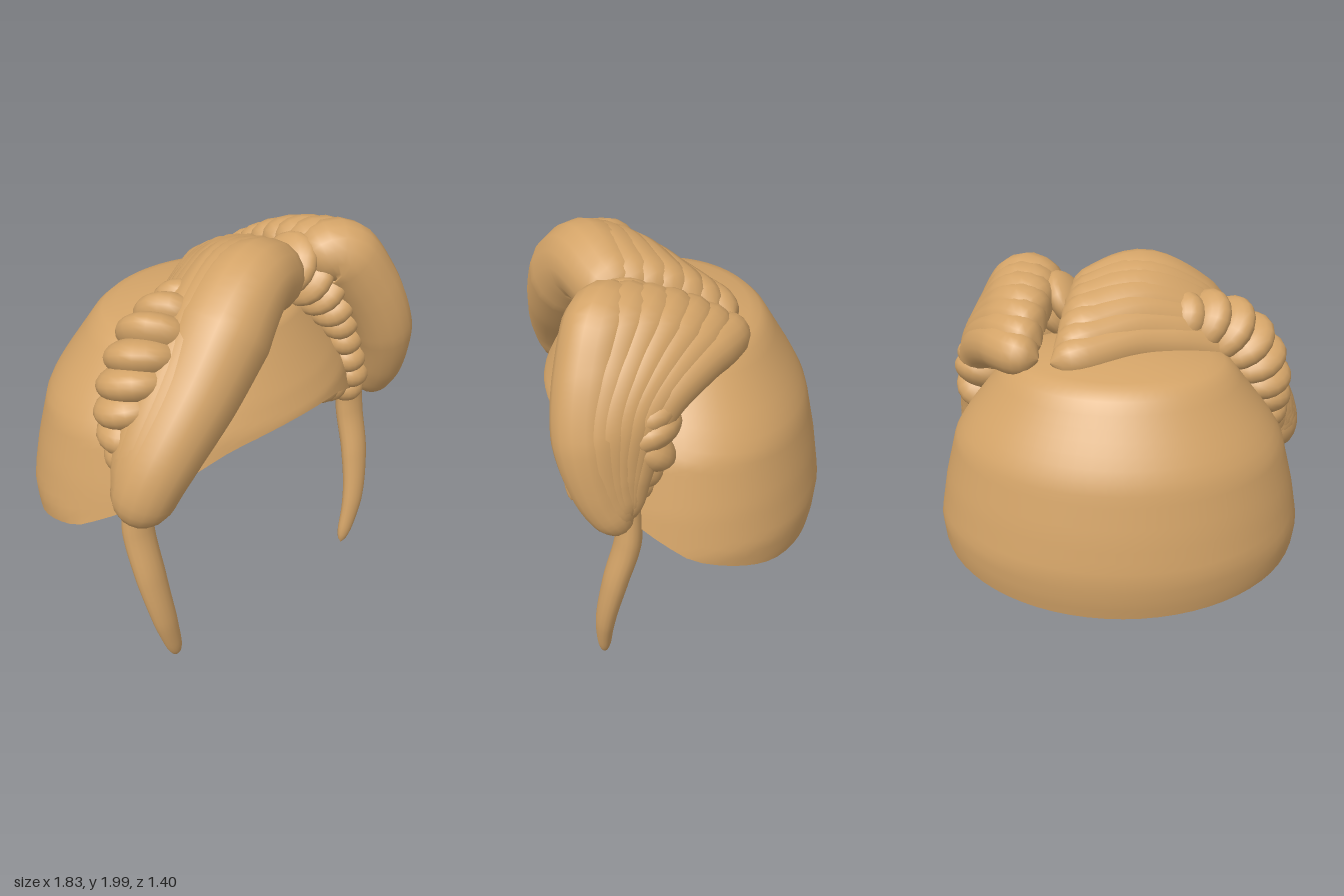
import * as THREE from 'three';
import { mergeVertices } from 'three/addons/utils/BufferGeometryUtils.js';

const hair = new THREE.MeshStandardMaterial({ color: 0xd4a468 });
hair.name = 'hair tan';
const shell = new THREE.MeshStandardMaterial({ color: 0xd4a468, side: THREE.DoubleSide });
shell.name = 'hair tan open shell';

const curveOf = (pts) => new THREE.CatmullRomCurve3(pts.map((p) => new THREE.Vector3(...p)));

// Linear lookup in an evenly spaced list
function sample(list, u) {
  const f = Math.min(Math.max(u, 0), 1) * (list.length - 1);
  const i = Math.min(Math.floor(f), list.length - 2);
  return list[i] + (list[i + 1] - list[i]) * (f - i);
}

// Lookup in a table of [key, value] with rising keys
function lookup(table, k) {
  let i = 0;
  while (i < table.length - 2 && k > table[i + 1][0]) i++;
  const [a, b] = [table[i], table[i + 1]];
  return a[1] + (b[1] - a[1]) * Math.min(Math.max((k - a[0]) / (b[0] - a[0]), 0), 1);
}

function smooth(geo) {
  geo.deleteAttribute('uv');
  geo.deleteAttribute('normal');
  const g = mergeVertices(geo, 1e-4);
  g.computeVertexNormals();
  return g;
}

// Tapered tube with rounded ends
function lock(name, pts, radii, flatZ = 1) {
  const n = 40, m = 16, curve = curveOf(pts);
  const geo = new THREE.TubeGeometry(curve, n, 1, m);
  const pos = geo.attributes.position, v = new THREE.Vector3();
  for (let i = 0; i <= n; i++) {
    const u = i / n, c = curve.getPointAt(u);
    const e = Math.min(1, Math.min(u, 1 - u) / 0.1);
    const r = sample(radii, u) * Math.sqrt(Math.max(0.002, 1 - (1 - e) ** 2));
    for (let j = 0; j <= m; j++) {
      const k = i * (m + 1) + j;
      v.fromBufferAttribute(pos, k).sub(c).multiplyScalar(r);
      pos.setXYZ(k, c.x + v.x, c.y + v.y, c.z + v.z * flatZ);
    }
  }
  const mesh = new THREE.Mesh(smooth(geo), hair);
  mesh.name = name;
  return mesh;
}

// Overlapping layers blended from a front lock to a back lock
function layeredSweep(name, front, frontR, back, backR, layers) {
  const g = new THREE.Group();
  g.name = name;
  for (let i = 0; i < layers; i++) {
    const t = i / (layers - 1);
    const lift = 0.04 * Math.sin(Math.PI * t);
    const pts = front.map((p, k) => p.map((a, d) => a + (back[k][d] - a) * t + (d === 1 ? lift : 0)));
    const radii = frontR.map((r, k) => r + (backR[k] - r) * t);
    g.add(lock(name + 'Layer', pts, radii));
  }
  return g;
}

// Row of squashed, tilted beads along a path
function braid(name, pts, count, widths, thick, tilt) {
  const g = new THREE.Group();
  g.name = name;
  const curve = curveOf(pts), up = new THREE.Vector3(0, 1, 0);
  const lean = new THREE.Quaternion().setFromEuler(new THREE.Euler(tilt, 0, tilt * 0.5));
  for (let i = 0; i < count; i++) {
    const u = i / (count - 1), w = sample(widths, u);
    const bead = new THREE.Mesh(new THREE.SphereGeometry(1, 18, 12), hair);
    bead.name = name + 'Strand';
    bead.position.copy(curve.getPointAt(u));
    bead.quaternion.setFromUnitVectors(up, curve.getTangentAt(u)).multiply(lean);
    bead.scale.set(w, thick, w);
    g.add(bead);
  }
  return g;
}

// Open dome with a rim that is high at the front and low at the back
function cap() {
  const rim = [[-1, 0.52], [-0.44, 0.595], [0.15, 0.735], [0.48, 0.88], [0.72, 1.02], [0.9, 1.14], [1, 1.18]];
  const profile = [[0.52, 0.955], [0.62, 0.985], [0.75, 1], [0.95, 0.96], [1.2, 0.89], [1.3, 0.82], [1.57, 0.59]];
  const n = 64, m = 28, verts = [], idx = [];
  for (let j = 0; j <= m; j++) {
    for (let i = 0; i < n; i++) {
      const a = (i / n) * Math.PI * 2, s = Math.cos(a);
      const low = lookup(rim, s), v = j / m;
      // Lower rings climb the wall, upper rings close the crown
      const y = v < 0.7 ? low + (1.57 - low) * (v / 0.7) : 1.57 + 0.07 * (1 - ((1 - v) / 0.3) ** 2);
      const k = v < 0.7 ? lookup(profile, y) : 0.59 * ((1 - v) / 0.3);
      verts.push(Math.sin(a) * 0.91 * k, y, s * (s > 0 ? 0.72 : 0.71) * k + 0.01);
      if (j < m) {
        const p = j * n + i, q = j * n + ((i + 1) % n);
        idx.push(p, q, q + n, p, q + n, p + n);
      }
    }
  }
  let geo = new THREE.BufferGeometry();
  geo.setAttribute('position', new THREE.Float32BufferAttribute(verts, 3));
  geo.setIndex(idx);
  geo = mergeVertices(geo, 1e-4);
  geo.computeVertexNormals();
  const mesh = new THREE.Mesh(geo, shell);
  mesh.name = 'hairCap';
  return mesh;
}

export function createModel() {
  const model = new THREE.Group();
  model.name = 'braidedHair';
  model.add(cap());

  // Wide fringe sweep on the right
  model.add(layeredSweep('rightFringe',
    [[0.26, 1.71, 0.27], [0.12, 1.75, 0.33], [-0.1, 1.785, 0.4], [-0.48, 1.44, 0.475], [-0.74, 1.13, 0.48], [-0.81, 0.89, 0.44]],
    [0.16, 0.19, 0.225, 0.2, 0.17, 0.13],
    [[0.3, 1.62, -0.2], [0.14, 1.63, -0.12], [-0.1, 1.64, 0.04], [-0.5, 1.52, 0.24], [-0.74, 1.2, 0.36], [-0.8, 0.97, 0.42]],
    [0.1, 0.11, 0.12, 0.12, 0.1, 0.08], 7));

  // Narrower fringe sweep on the left
  model.add(layeredSweep('leftFringe',
    [[0.35, 1.72, 0.33], [0.49, 1.79, 0.42], [0.62, 1.62, 0.5], [0.73, 1.36, 0.55], [0.79, 1.1, 0.51], [0.83, 0.9, 0.41]],
    [0.13, 0.165, 0.16, 0.15, 0.12, 0.08],
    [[0.36, 1.62, -0.16], [0.47, 1.63, -0.12], [0.6, 1.61, 0.03], [0.73, 1.48, 0.24], [0.78, 1.2, 0.36], [0.82, 0.96, 0.4]],
    [0.1, 0.115, 0.11, 0.1, 0.09, 0.06], 7));

  // Braids wrapping the back edges and curling under the temples
  model.add(braid('rightBraid',
    [[-0.2, 1.72, 0.17], [-0.4, 1.69, 0.24], [-0.55, 1.61, 0.27], [-0.65, 1.49, 0.29], [-0.71, 1.34, 0.3],
      [-0.73, 1.18, 0.34], [-0.67, 1.06, 0.37], [-0.57, 1.04, 0.38], [-0.48, 1.05, 0.4]],
    12, [0.09, 0.15, 0.18, 0.18, 0.17, 0.14, 0.12, 0.12, 0.09], 0.095, 0.35));
  model.add(braid('leftBraid',
    [[0.67, 1.53, 0.28], [0.71, 1.43, 0.28], [0.73, 1.3, 0.29], [0.72, 1.17, 0.33], [0.66, 1.05, 0.37],
      [0.56, 1.03, 0.38], [0.48, 1.04, 0.4]],
    9, [0.13, 0.16, 0.15, 0.12, 0.12, 0.12, 0.09], 0.095, -0.4));
  model.add(braid('innerBraid',
    [[0.28, 1.75, 0.31], [0.38, 1.67, 0.36], [0.47, 1.53, 0.42], [0.54, 1.38, 0.45], [0.58, 1.24, 0.46],
      [0.62, 1.1, 0.46], [0.64, 0.99, 0.43]],
    9, [0.16, 0.16, 0.13, 0.1, 0.09, 0.1, 0.09], 0.08, -0.3));

  // Loose strands hanging before the ears
  for (const s of [-1, 1]) {
    model.add(lock(s < 0 ? 'rightStrand' : 'leftStrand',
      [[s * 0.73, 1.08, 0.38], [s * 0.745, 0.8, 0.385], [s * 0.735, 0.55, 0.45], [s * 0.695, 0.28, 0.5], [s * 0.62, 0, 0.505]],
      [0.07, 0.082, 0.077, 0.062, 0.036], 0.75));
  }
  return model;
}
